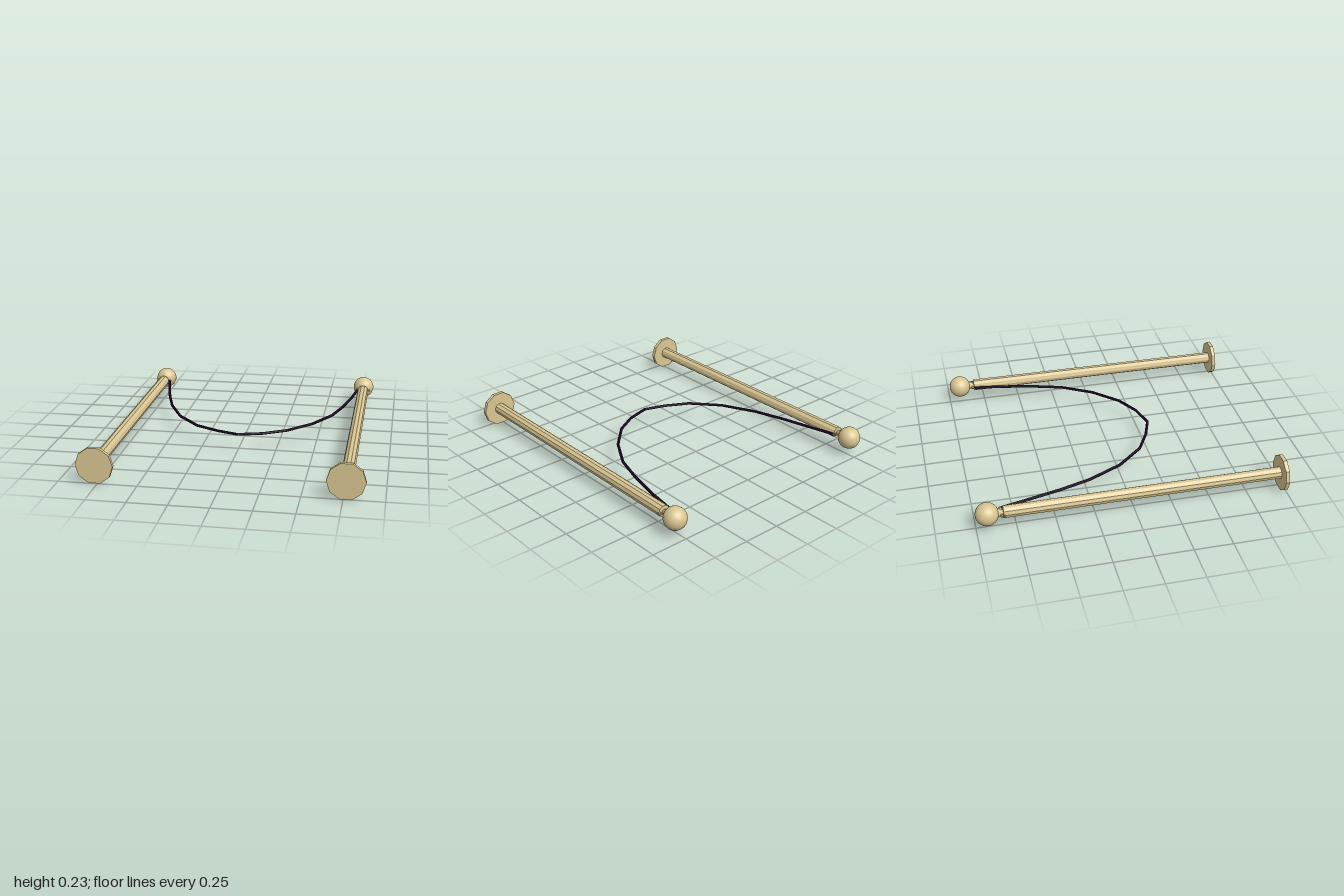
import * as THREE from 'three';

const brass = new THREE.MeshStandardMaterial({ color: 0xd9c692, flatShading: true });
const brassSmooth = new THREE.MeshStandardMaterial({ color: 0xd9c692 });
const ropeMat = new THREE.MeshStandardMaterial({ color: 0x2c1035, flatShading: true });

const AXIS_Y = 0.115;
const POST_X = 0.77;

function add(parent, name, geometry, material, x, y, z) {
  const mesh = new THREE.Mesh(geometry, material);
  mesh.name = name;
  mesh.position.set(x, y, z);
  parent.add(mesh);
  return mesh;
}

// Ten-sided cylinder along z from z0 (front) to z1 (back), flat sides up and down
function rod(r0, r1, z0, z1, sides = 10) {
  const g = new THREE.CylinderGeometry(r1, r0, z0 - z1, sides);
  g.rotateY(Math.PI / 2);
  g.rotateX(-Math.PI / 2);
  g.translate(0, 0, (z0 + z1) / 2);
  return g;
}

// Post lying on its side: base plate to the front, ball to the back
function createPost(name) {
  const post = new THREE.Group();
  post.name = name;
  add(post, 'base', rod(0.119, 0.119, 1, 0.975), brass, 0, 0, 0);
  add(post, 'shaft', rod(0.04, 0.04, 0.975, -0.822), brass, 0, 0, 0);
  add(post, 'neck', rod(0.012, 0.035, -0.82, -0.865), brass, 0, 0, 0);
  add(post, 'ball', new THREE.SphereGeometry(0.074, 24, 16), brassSmooth, 0, 0, -0.922);
  for (const side of [-1, 1]) {
    const ring = new THREE.TorusGeometry(0.014, 0.004, 6, 12);
    ring.rotateX(Math.PI / 2);
    add(post, 'ropeRing', ring, brassSmooth, side * 0.039, 0, -0.828);
  }
  return post;
}

// Straight segments whose corners fall exactly on the tube's rings
class Polyline extends THREE.Curve {
  constructor(points) {
    super();
    this.points = points;
  }
  getPoint(t, target = new THREE.Vector3()) {
    const n = this.points.length - 1;
    const i = Math.min(Math.floor(t * n + 1e-9), n - 1);
    return target.lerpVectors(this.points[i], this.points[i + 1], t * n - i);
  }
  getPointAt(t, target) { return this.getPoint(t, target); }
  getTangentAt(t, target) { return this.getTangent(t, target); }
}

export function createModel() {
  const model = new THREE.Group();
  model.name = 'ropeBarrier';

  const right = createPost('rightPost');
  right.position.set(-POST_X, AXIS_Y, -0.006);
  const left = createPost('leftPost');
  left.position.set(POST_X - 0.004, AXIS_Y, 0);
  model.add(right, left);

  // Sagging rope between the posts
  const path = [
    [-0.725, -0.825], [-0.695, -0.7], [-0.63, -0.44], [-0.567, -0.24], [-0.456, -0.015],
    [-0.3, 0.16], [-0.145, 0.243], [0, 0.293], [0.16, 0.25], [0.31, 0.165],
    [0.465, 0.005], [0.585, -0.2], [0.645, -0.4], [0.693, -0.62], [0.722, -0.815],
  ].map(([x, z]) => new THREE.Vector3(x, 0, z));
  const rope = new THREE.TubeGeometry(new Polyline(path), path.length - 1, 0.0095, 8);
  add(model, 'rope', rope, ropeMat, 0, AXIS_Y + 0.001, 0);

  // Rope end caps
  for (const p of [path[0], path[path.length - 1]]) {
    add(model, 'ropeEnd', new THREE.SphereGeometry(0.0095, 8, 6), ropeMat, p.x, AXIS_Y + 0.001, p.z);
  }
  return model;
}
